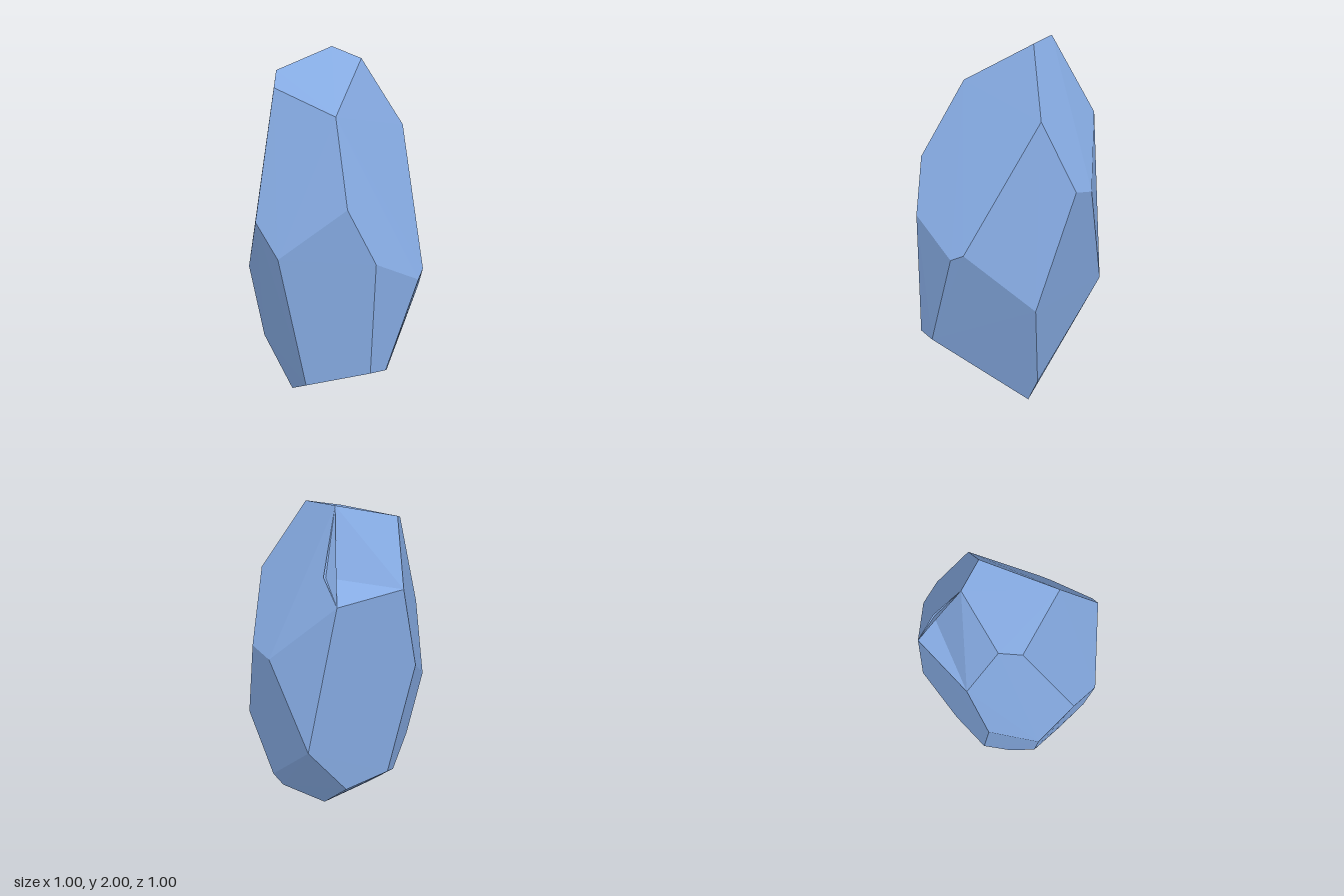
import * as THREE from 'three';
import { ConvexGeometry } from 'three/addons/geometries/ConvexGeometry.js';

const V = (x, y, z) => new THREE.Vector3(x, y, z);

// Corners that border the chipped notch
const peak = V(0.163, 2.0, -0.185);
const backRidge = V(0, 1.6, -0.485);
const sideRidge = V(0.33, 1.59, -0.357);
const notch = V(0.3, 1.695, -0.24);

// Remaining corners of the cut stone, in layers from the crown to the foot
const crown = [
  V(0.17, 1.965, 0), V(-0.1, 1.905, -0.345), V(-0.192, 1.845, -0.285), V(-0.194, 1.77, 0.11),
];
const shoulder = [
  V(0.325, 1.6, 0.163), V(-0.343, 1.375, 0.293), V(0.485, 1.245, 0.08), V(0.498, 1.228, -0.053),
  V(-0.453, 1.21, -0.212),
];
const waist = [
  V(-0.11, 1.1, -0.5), V(-0.277, 1.09, 0.422), V(-0.5, 1.07, -0.027), V(0.072, 0.94, 0.48),
  V(0.003, 0.91, 0.497), V(-0.341, 0.86, -0.375), V(0.442, 0.7, -0.262), V(0.372, 0.645, 0.272),
];
const hip = [
  V(-0.282, 0.44, 0.4), V(-0.183, 0.42, 0.43), V(-0.3, 0.42, -0.32), V(-0.02, 0.37, -0.42),
  V(0.215, 0.33, -0.325), V(-0.435, 0.32, 0.088),
];
const foot = [
  V(-0.155, 0.255, -0.35), V(0.315, 0.205, 0.16), V(-0.355, 0.19, -0.077), V(0.25, 0.08, 0.15),
  V(-0.155, 0.05, -0.178), V(0.125, 0, -0.07),
];

// Sinks a notch into the hull triangle spanned by the three given corners
function chip(hull, corners, point) {
  const pos = hull.getAttribute('position');
  const onCorner = (p) => corners.some((c) => c.distanceTo(p) < 1e-4);
  const points = [];
  for (let i = 0; i < pos.count; i += 3) {
    const [a, b, c] = [0, 1, 2].map((k) => new THREE.Vector3().fromBufferAttribute(pos, i + k));
    if ([a, b, c].every(onCorner)) points.push(a, b, point, b, c, point, c, a, point);
    else points.push(a, b, c);
  }
  const geometry = new THREE.BufferGeometry().setFromPoints(points);
  geometry.computeVertexNormals();
  return geometry;
}

export function createModel() {
  const group = new THREE.Group();
  group.name = 'rock';

  // Faceted boulder: a convex hull with one chipped corner
  const rim = [peak, backRidge, sideRidge];
  const hull = new ConvexGeometry([...rim, ...crown, ...shoulder, ...waist, ...hip, ...foot]);
  const material = new THREE.MeshStandardMaterial({ color: 0x86abe3, flatShading: true });
  const stone = new THREE.Mesh(chip(hull, rim, notch), material);
  stone.name = 'facetedStone';
  group.add(stone);
  return group;
}
